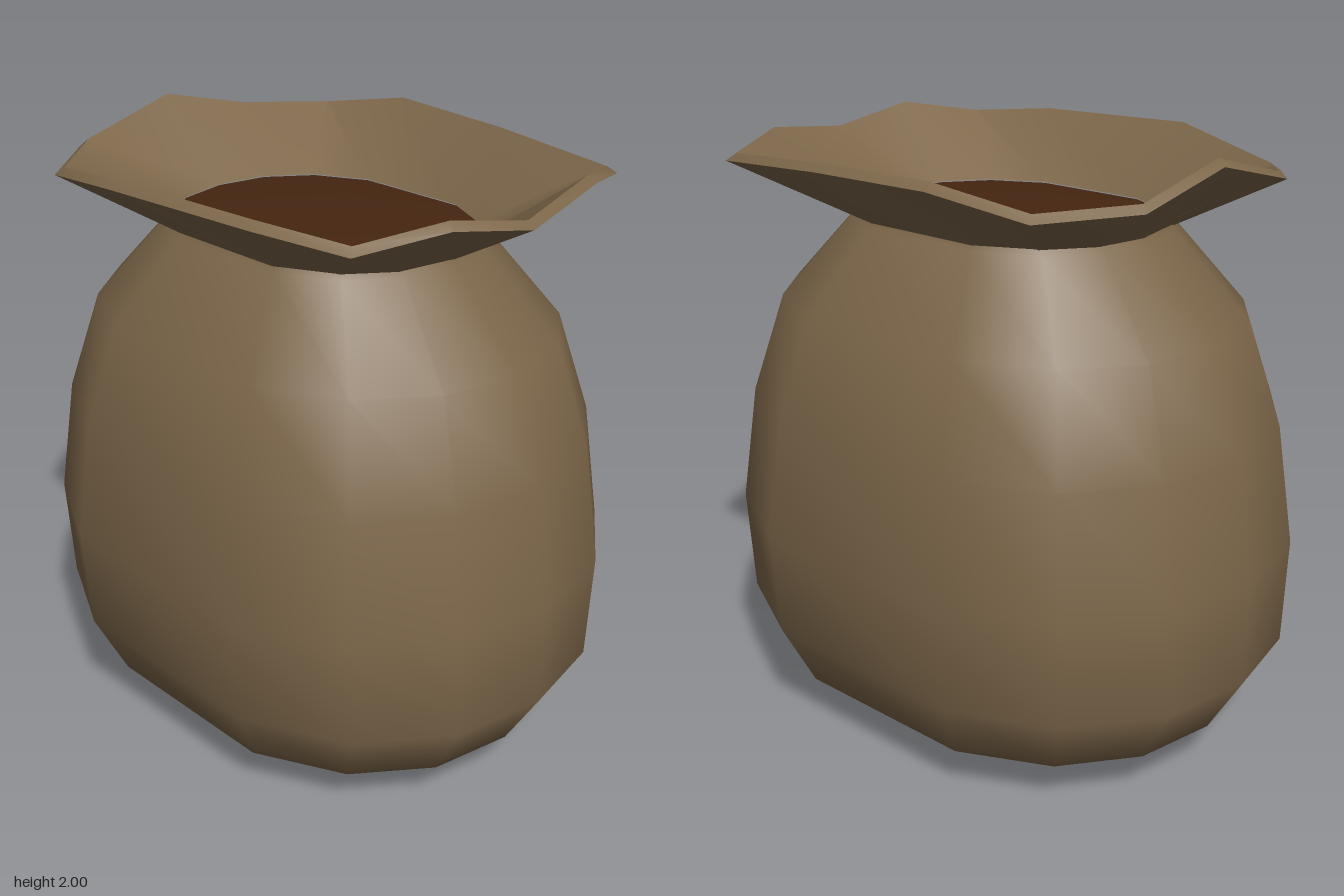
import * as THREE from 'three';
import { mergeVertices, toCreasedNormals } from 'three/addons/utils/BufferGeometryUtils.js';

// one quarter of the oval 14-sided cross-section, mirrored into a full ring
const quarter = [[0.935, 0.43], [0.73, 0.78], [0.39, 1]];
const back = [...quarter].reverse();
const oval = [
  [1, 0], ...quarter, ...back.map(([x, z]) => [-x, z]),
  [-1, 0], ...quarter.map(([x, z]) => [-x, -z]), ...back.map(([x, z]) => [x, -z]),
];

const ring = (y, rx, rz) => oval.map(([x, z]) => [x * rx, y, z * rz]);

// skin a stack of rings; rings run from bottom to top for an outward surface
function loft(rings) {
  const n = oval.length;
  const index = [];
  for (let r = 0; r < rings.length - 1; r++) {
    for (let i = 0; i < n; i++) {
      const j = (i + 1) % n;
      const a = r * n + i, b = a + n, c = (r + 1) * n + j, d = r * n + j;
      index.push(a, b, c, a, c, d);
    }
  }
  const geo = new THREE.BufferGeometry();
  geo.setAttribute('position', new THREE.Float32BufferAttribute(rings.flat(2), 3));
  geo.setIndex(index);
  const merged = mergeVertices(geo);
  merged.computeVertexNormals();
  return merged;
}

export function createModel() {
  const group = new THREE.Group();
  const burlap = new THREE.MeshStandardMaterial({ name: 'burlap', color: 0x7d674a });
  const filling = new THREE.MeshStandardMaterial({ name: 'darkFilling', color: 0x452510 });

  const add = (name, geo, material) => {
    const mesh = new THREE.Mesh(geo, material);
    mesh.name = name;
    group.add(mesh);
  };

  // bulging sack with a rounded underside: [y, half width, half depth]
  const profile = [
    [0, 0, 0], [0.01, 0.365, 0.28], [0.065, 0.655, 0.505], [0.165, 0.845, 0.645],
    [0.375, 0.968, 0.738], [0.73, 0.975, 0.762], [1.12, 0.915, 0.712],
    [1.45, 0.805, 0.612], [1.72, 0.55, 0.42], [1.75, 0.535, 0.41],
  ];
  add('sackBody', loft(profile.map((p) => ring(...p))), burlap);

  // uneven flared collar: outer lip points [x, y, z] from the left side round the front
  const outerLip = [
    [0.83, 1.895, 0], [0.79, 1.95, 0.3], [0.66, 1.905, 0.55], [0.37, 1.93, 0.64],
    [-0.2, 1.935, 0.69], [-0.63, 1.865, 0.58], [-0.79, 1.89, 0.36], [-0.8, 1.98, 0],
    [-0.78, 1.9, -0.34], [-0.6, 1.89, -0.61], [-0.28, 1.945, -0.68],
    [0.2, 1.93, -0.65], [0.67, 1.9, -0.61], [0.77, 1.94, -0.36],
  ];
  const innerLip = outerLip.map(([x, y, z]) => [x * 0.97, y + 0.023, z * 0.955]);

  add('collarOutside', loft([ring(1.73, 0.53, 0.41), outerLip]), burlap);
  add('collarLip', toCreasedNormals(loft([outerLip, innerLip]), 0.5), burlap);
  add('collarInside', toCreasedNormals(loft([innerLip, ring(1.74, 0.51, 0.4)]), 0.58), burlap);

  // gently domed contents filling the mouth
  add('contents', loft([
    ring(1.735, 0.515, 0.405), ring(1.755, 0.3, 0.235), ring(1.762, 0, 0),
  ]), filling);

  return group;
}
